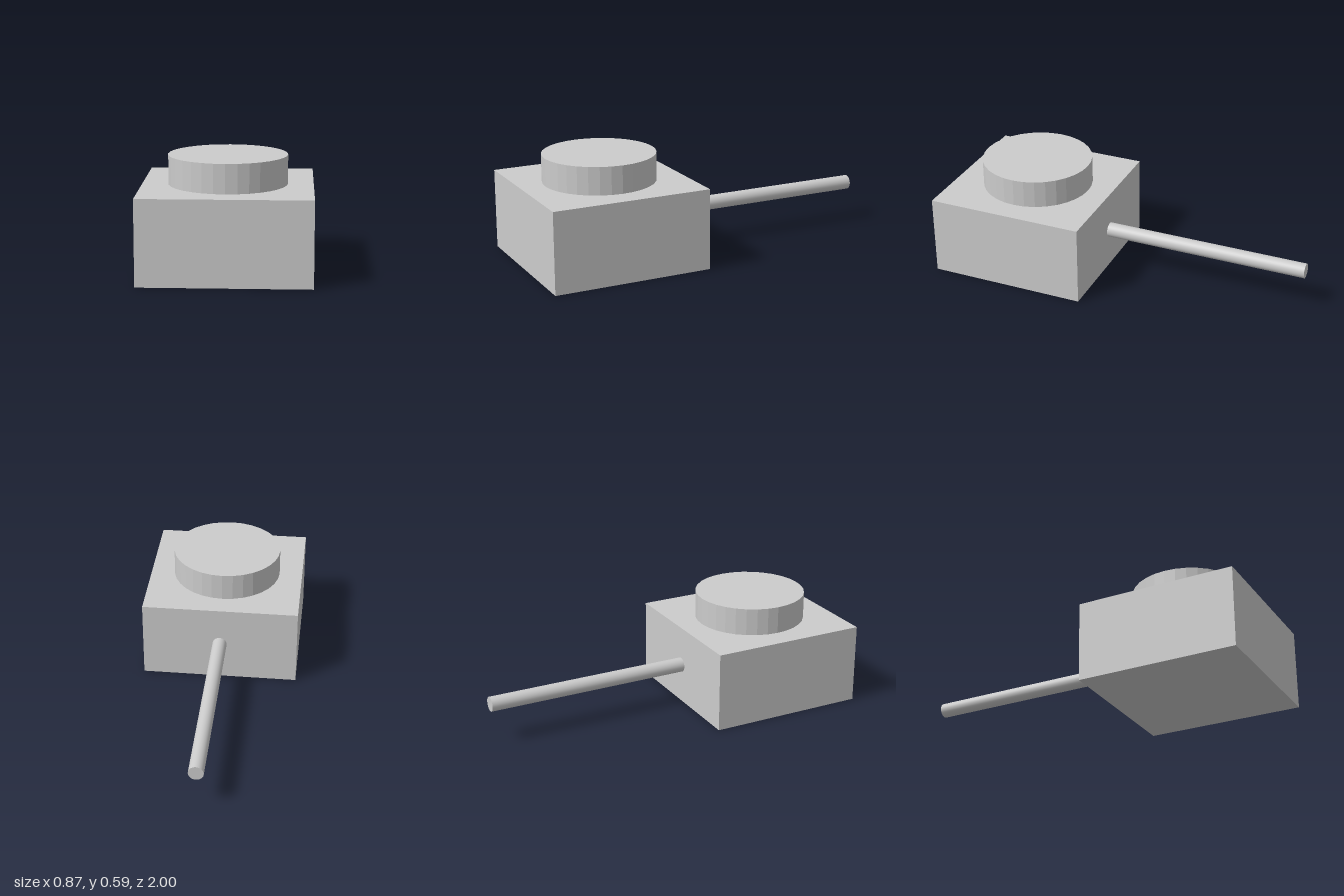
import * as THREE from 'three';

export function createModel() {
  const model = new THREE.Group();
  const smooth = new THREE.MeshStandardMaterial({ color: 0xcccccc });
  const faceted = new THREE.MeshStandardMaterial({ color: 0xcccccc, flatShading: true });

  const add = (name, geometry, material, x, y, z) => {
    const mesh = new THREE.Mesh(geometry, material);
    mesh.name = name;
    mesh.position.set(x, y, z);
    model.add(mesh);
    return mesh;
  };

  const width = 0.868, height = 0.437, studHeight = 0.15;
  const centreZ = 1 - width / 2;
  const backZ = 1 - width;

  // Square block
  add('body', new THREE.BoxGeometry(width, height, width), faceted, 0, height / 2, centreZ);

  // Faceted round button on top
  add('topButton', new THREE.CylinderGeometry(0.304, 0.304, studHeight, 32), faceted,
    0, height + studHeight / 2, centreZ);

  // Thin rod running backwards from the block
  const rodLength = 1 + backZ;
  const rod = new THREE.CylinderGeometry(0.04, 0.04, rodLength, 32).rotateX(Math.PI / 2);
  add('rearRod', rod, smooth, 0, height / 2, backZ - rodLength / 2);

  return model;
}
